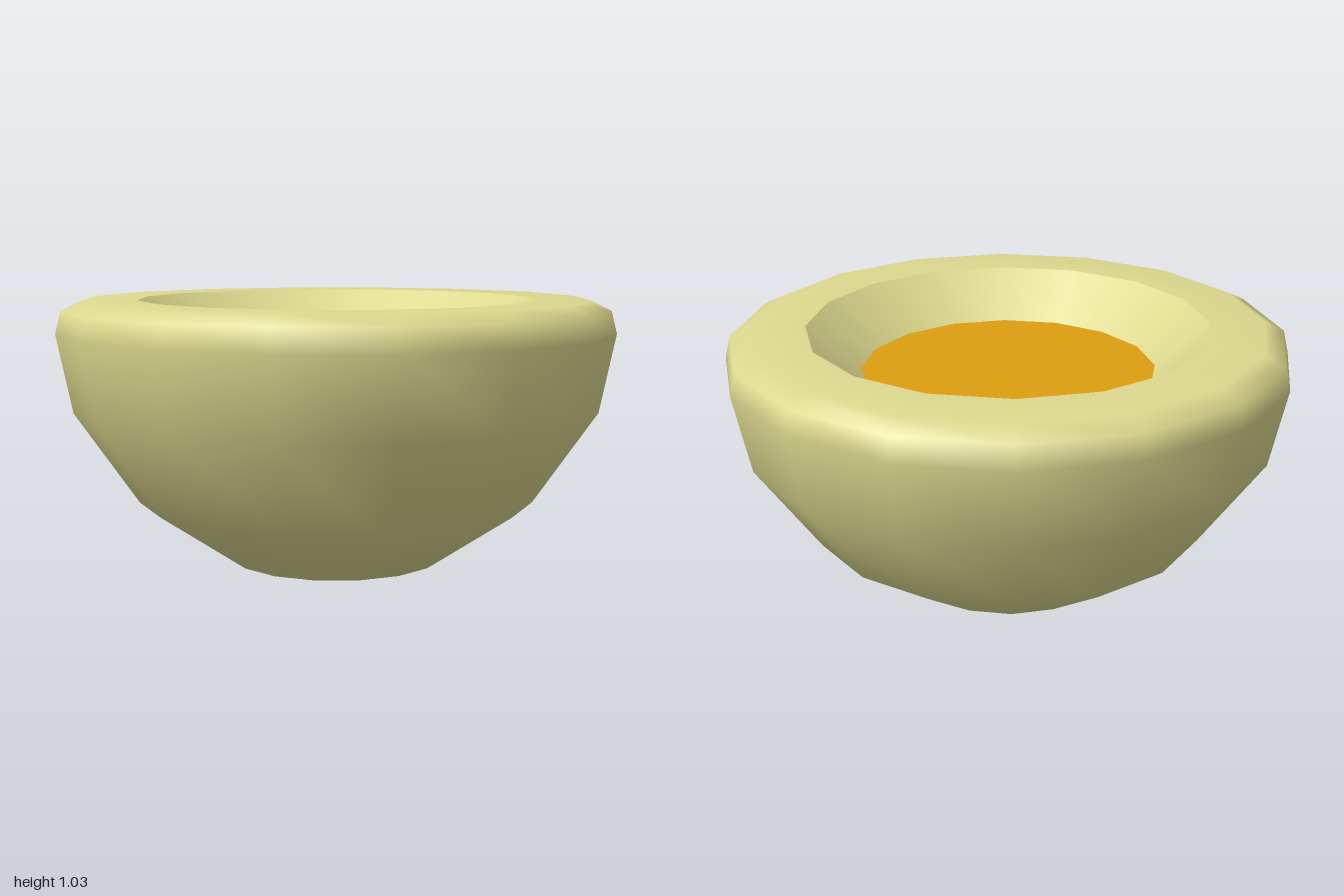
import * as THREE from 'three';

const SIDES = 16;

// Turn a list of [radius, height] points around the y axis
function turned(name, profile, material) {
  const points = profile.map(([r, y]) => new THREE.Vector2(r, y));
  const mesh = new THREE.Mesh(new THREE.LatheGeometry(points, SIDES), material);
  mesh.name = name;
  return mesh;
}

export function createModel() {
  const model = new THREE.Group();
  model.name = 'bowl';
  const shellMaterial = new THREE.MeshStandardMaterial({ color: 0xddd98f, side: THREE.DoubleSide });
  const fillingMaterial = new THREE.MeshStandardMaterial({ color: 0xdd9e10, side: THREE.DoubleSide });

  // Rounded outside, running over the rim to the sharp inner lip
  model.add(turned('outerShell', [
    [0, 0], [0.39, 0.08], [0.72, 0.305], [0.945, 0.635],
    [1, 0.915], [0.98, 0.995], [0.91, 1.03], [0.713, 1.03],
  ], shellMaterial));

  // Sloping wall of the hollow
  model.add(turned('innerWall', [[0.713, 1.03], [0.525, 0.87]], shellMaterial));

  // Flat filling at the bottom of the hollow
  const filling = new THREE.Mesh(new THREE.CircleGeometry(0.525, SIDES), fillingMaterial);
  filling.name = 'filling';
  filling.rotation.x = -Math.PI / 2;
  filling.position.y = 0.87;
  model.add(filling);

  return model;
}
